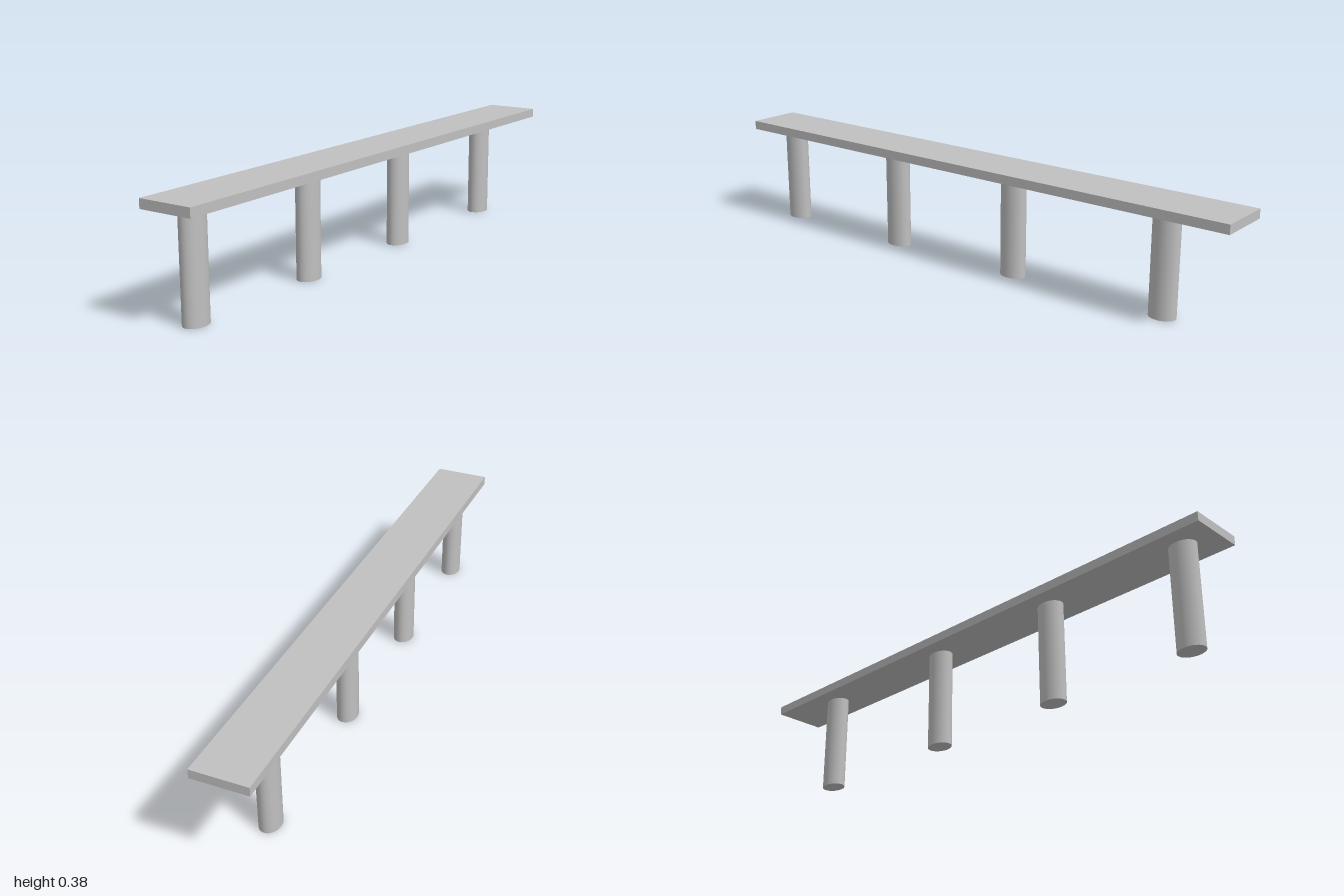
import * as THREE from 'three';

export function createModel() {
  const concrete = new THREE.MeshStandardMaterial({ color: 0xc0c0c0 });
  concrete.name = 'concrete grey';

  const bridge = new THREE.Group();
  bridge.name = 'footbridge';
  bridge.rotation.y = 0.0393; // the span runs slightly askew

  const legHeight = 0.35;
  const deckThickness = 0.031;

  // Flat deck slab
  const deck = new THREE.Mesh(new THREE.BoxGeometry(0.19, deckThickness, 1.994), concrete);
  deck.name = 'deck';
  deck.position.y = legHeight + deckThickness / 2;
  bridge.add(deck);

  // Oval piers, unevenly spaced and slightly off the centre line
  const pierGeometry = new THREE.CylinderGeometry(1, 1, legHeight, 32);
  pierGeometry.scale(0.0353, 1, 0.0468);
  [0.881, 0.356, -0.163, -0.741].forEach((z, i) => {
    const pier = new THREE.Mesh(pierGeometry, concrete);
    pier.name = `pier${i + 1}`;
    pier.position.set(-0.009, legHeight / 2, z);
    bridge.add(pier);
  });

  const model = new THREE.Group();
  model.name = 'model';
  model.add(bridge);
  return model;
}
